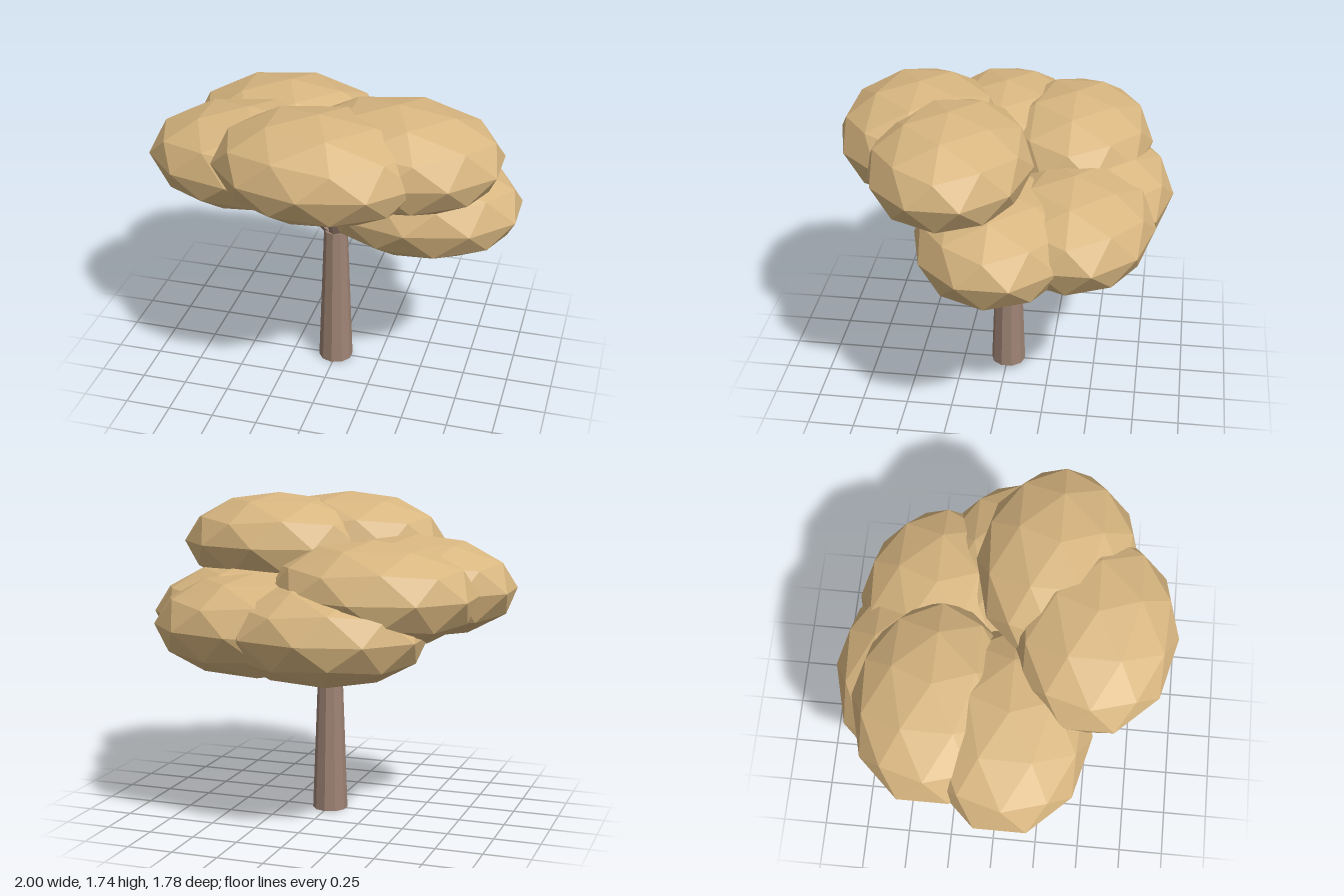
import * as THREE from 'three';

const leaf = new THREE.MeshStandardMaterial({ name: 'sandy foliage', color: 0xd8b680, flatShading: true });
const bark = new THREE.MeshStandardMaterial({ name: 'brown bark', color: 0x9e8374, flatShading: true });

const TRUNK_X = -0.004, TRUNK_Z = -0.004;

// Centres of the foliage clumps, named by where they sit
const CLUMPS = [
  ['front', 0.035, 1.46, 0.46],
  ['frontLeft', 0.39, 1.46, 0.245],
  ['right', -0.467, 1.27, 0.065],
  ['backRight', -0.355, 1.275, -0.335],
  ['back', -0.125, 1.08, -0.465],
  ['backLeft', 0.28, 1.085, -0.385],
  ['left', 0.467, 1.085, 0],
];

function addMesh(group, name, geometry, material) {
  const mesh = new THREE.Mesh(geometry, material);
  mesh.name = name;
  group.add(mesh);
  return mesh;
}

// Tapered limb between two points
function addLimb(group, name, from, to, r0, r1, sides) {
  const dir = to.clone().sub(from);
  const limb = addMesh(group, name, new THREE.CylinderGeometry(r1, r0, dir.length(), sides), bark);
  limb.position.copy(from).addScaledVector(dir, 0.5);
  limb.quaternion.setFromUnitVectors(new THREE.Vector3(0, 1, 0), dir.normalize());
}

export function createModel() {
  const tree = new THREE.Group();
  tree.name = 'tree';

  // Trunk
  const base = new THREE.Vector3(TRUNK_X, 0, TRUNK_Z);
  addLimb(tree, 'trunk', base, new THREE.Vector3(TRUNK_X, 0.83, TRUNK_Z), 0.097, 0.066, 10);

  // Flattened faceted clump, turned so a corner points straight up
  const clump = new THREE.IcosahedronGeometry(1, 1);
  clump.rotateZ(-Math.atan(2 / (1 + Math.sqrt(5))));
  clump.scale(0.56, 0.28, 0.43);

  // Each clump has its own branch from the trunk top
  const fork = new THREE.Vector3(TRUNK_X, 0.8, TRUNK_Z);
  for (const [name, x, y, z] of CLUMPS) {
    addMesh(tree, name + 'Foliage', clump, leaf).position.set(x, y, z);
    addLimb(tree, name + 'Branch', fork, new THREE.Vector3(x, y, z), 0.034, 0.026, 6);
  }
  return tree;
}
